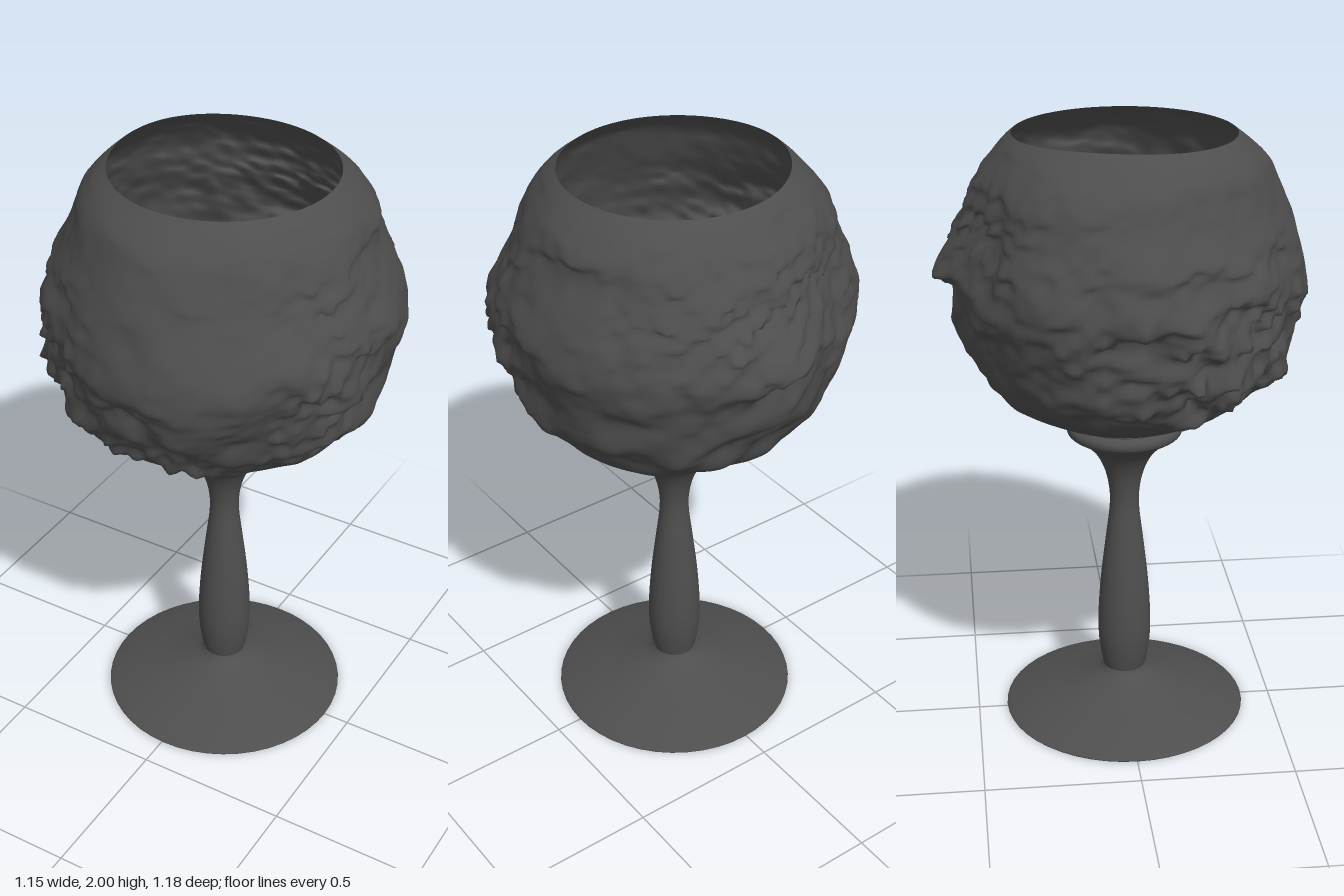
import * as THREE from 'three';

const AXIS_X = 0.01;
const material = new THREE.MeshStandardMaterial({ color: 0x4e4e4e, side: THREE.DoubleSide });
const smooth = (a, b, t) => THREE.MathUtils.smoothstep(t, a, b);
const lerp = THREE.MathUtils.lerp;

// Seeded lattice value in 0..1
function hash(x, y, z) {
  let h = Math.imul(x, 374761393) ^ Math.imul(y, 668265263) ^ Math.imul(z, 873357467);
  h = Math.imul(h ^ (h >>> 13), 1274126177);
  return ((h ^ (h >>> 16)) >>> 0) / 4294967295;
}

// Smooth value noise in -1..1
function noise(x, y, z) {
  const i = Math.floor(x), j = Math.floor(y), k = Math.floor(z);
  const u = smooth(0, 1, x - i), v = smooth(0, 1, y - j), w = smooth(0, 1, z - k);
  const row = (b, c) => lerp(hash(i, b, c), hash(i + 1, b, c), u);
  const slab = (c) => lerp(row(j, c), row(j + 1, c), v);
  return lerp(slab(k), slab(k + 1), w) * 2 - 1;
}

function curve(points) {
  return new THREE.SplineCurve(points.map(([r, y]) => new THREE.Vector2(r, y)));
}

function lathe(name, points, steps, segments = 48) {
  const mesh = new THREE.Mesh(new THREE.LatheGeometry(curve(points).getPoints(steps), segments), material);
  mesh.name = name;
  mesh.position.x = AXIS_X;
  return mesh;
}

// Strength of a soft patch centred on an angle and height
function patch(angle, y, a0, y0, aw, yw) {
  const d = Math.atan2(Math.sin(angle - a0), Math.cos(angle - a0)) / aw;
  return Math.exp(-d * d - ((y - y0) / yw) ** 2);
}

// Thin bowl with eroded, shelf-like relief
function makeBowl() {
  const profile = curve([
    [0.165, 1.045], [0.2, 1.06], [0.29, 1.1], [0.385, 1.155], [0.455, 1.22], [0.51, 1.32],
    [0.54, 1.44], [0.55, 1.56], [0.53, 1.67], [0.49, 1.78], [0.45, 1.88], [0.4, 1.94], [0.345, 1.985],
  ]);
  const rows = 96, cols = 180;
  const geometry = new THREE.PlaneGeometry(1, 1, cols, rows);
  const pos = geometry.attributes.position;
  for (let n = 0; n < pos.count; n++) {
    const t = 1 - Math.floor(n / (cols + 1)) / rows;
    const angle = ((n % (cols + 1)) % cols) / cols * Math.PI * 2; // 0 = front, +90 = left
    const p = profile.getPointAt(t);
    const sx = Math.sin(angle), cz = Math.cos(angle);
    const x = p.x * sx, z = p.x * cz, y = p.y;

    // Smooth below and at the rim, roughest at the right and upper back
    const fade = smooth(1.12, 1.24, y) * (1 - smooth(1.92, 1.985, y));
    const rough = 0.08
      + 0.95 * patch(angle, y, -1.1, 1.42, 0.7, 0.24)
      + 0.6 * patch(angle, y, -0.1, 1.22, 0.8, 0.08)
      + 0.7 * patch(angle, y, Math.PI, 1.72, 0.9, 0.2)
      + 0.6 * patch(angle, y, 1.15, 1.55, 0.35, 0.3);

    const broad = noise(x * 4 + 3, y * 5, z * 4 + 9);
    const shelf = noise(x * 7 + 20, y * 12 + 3 * x, z * 7 + 5);
    const fine = noise(x * 26 + 40, y * 32, z * 26 + 11);

    // Hanging lobe across the front
    const lobe = patch(angle, y, 0.25, 1.54, 0.6, 0.13);

    const out = fade * (0.022 * broad + 0.016 * shelf + rough * (0.034 * fine + 0.018 * shelf) + 0.025 * lobe);
    const sag = fade * (0.022 * shelf + rough * (0.025 * fine + 0.02) + 0.05 * lobe);
    const lift = smooth(1.9, 1.985, y) * 0.015 * patch(angle, y, -1.9, 1.98, 0.8, 0.1);
    const r = p.x + out;
    pos.setXYZ(n, r * sx, y - sag + lift, r * cz);
  }
  geometry.computeVertexNormals();

  // Match the normals along the closing seam
  const nor = geometry.attributes.normal, a = new THREE.Vector3(), b = new THREE.Vector3();
  for (let j = 0; j <= rows; j++) {
    const i0 = j * (cols + 1), i1 = i0 + cols;
    a.fromBufferAttribute(nor, i0).add(b.fromBufferAttribute(nor, i1)).normalize();
    nor.setXYZ(i0, a.x, a.y, a.z);
    nor.setXYZ(i1, a.x, a.y, a.z);
  }
  const mesh = new THREE.Mesh(geometry, material);
  mesh.name = 'bowl';
  mesh.position.x = AXIS_X;
  return mesh;
}

export function createModel() {
  const group = new THREE.Group();
  group.name = 'goblet';

  // Hollow foot
  group.add(lathe('foot', [
    [0.4, 0], [0.395, 0.01], [0.3, 0.045], [0.2, 0.077], [0.12, 0.108], [0.085, 0.127], [0.07, 0.145],
  ], 24));

  // Baluster stem flaring into the collar
  group.add(lathe('stem', [
    [0.07, 0.145], [0.079, 0.19], [0.087, 0.26], [0.087, 0.35], [0.078, 0.48], [0.062, 0.62],
    [0.049, 0.73], [0.05, 0.8], [0.065, 0.87], [0.095, 0.93], [0.14, 0.975], [0.178, 0.998],
    [0.187, 1.01], [0.187, 1.025], [0.178, 1.037], [0.165, 1.045],
  ], 72));

  group.add(makeBowl());

  // Sunken floor inside the bowl and plug under the stem
  group.add(lathe('bowlFloor', [[0, 0.9], [0.05, 0.915], [0.1, 0.95], [0.14, 0.99], [0.17, 1.045]], 14));
  group.add(lathe('stemPlug', [[0, 0.165], [0.04, 0.16], [0.07, 0.145]], 8));

  return group;
}
